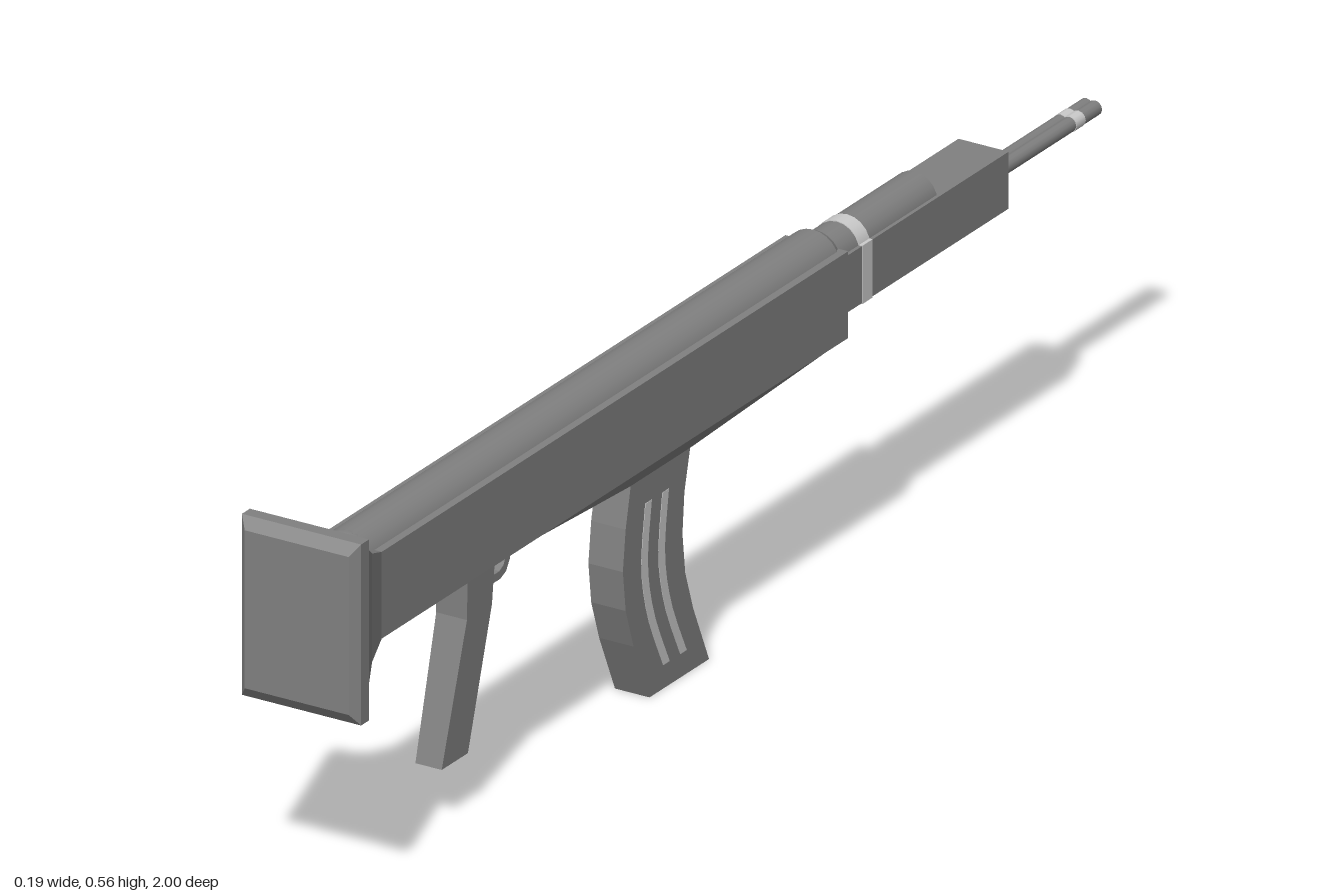
import * as THREE from 'three';
import { ConvexGeometry } from 'three/addons/geometries/ConvexGeometry.js';

const flat = new THREE.MeshStandardMaterial({ color: 0x808080, flatShading: true });
const smooth = new THREE.MeshStandardMaterial({ color: 0x808080 });
const light = new THREE.MeshStandardMaterial({ color: 0xcccccc });

// Loft rectangular sections [z, halfWidth, yBottom, yTop], z increasing
function loft(sections) {
  const pos = [], idx = [];
  for (const [z, w, y0, y1] of sections) pos.push(-w, y0, z, w, y0, z, w, y1, z, -w, y1, z);
  for (let s = 0; s < sections.length - 1; s++)
    for (let i = 0; i < 4; i++) {
      const a = s * 4 + i, b = s * 4 + (i + 1) % 4, c = b + 4, d = a + 4;
      idx.push(a, b, c, a, c, d);
    }
  const e = (sections.length - 1) * 4;
  idx.push(2, 1, 0, 3, 2, 0, e, e + 1, e + 2, e, e + 2, e + 3);
  const g = new THREE.BufferGeometry();
  g.setAttribute('position', new THREE.Float32BufferAttribute(pos, 3));
  g.setIndex(idx);
  const out = g.toNonIndexed();
  out.computeVertexNormals();
  return out;
}

// Extrude a side outline of [z, y] points to a width centred on x = 0
function side(points, width, hole) {
  const toV = ([z, y]) => new THREE.Vector2(z, y);
  const shape = new THREE.Shape(points.map(toV));
  if (hole) shape.holes.push(new THREE.Path(hole.map(toV)));
  const g = new THREE.ExtrudeGeometry(shape, { depth: width, bevelEnabled: false });
  return g.translate(0, 0, -width / 2).rotateY(-Math.PI / 2);
}

// Rod lying along z
function rod(r, z0, z1, x, y, seg = 20) {
  return new THREE.CylinderGeometry(r, r, z1 - z0, seg).rotateX(Math.PI / 2).translate(x, y, (z0 + z1) / 2);
}

// Curved band following a [z, y] centre line
function band(line, half) {
  const pts = new THREE.SplineCurve(line.map(p => new THREE.Vector2(...p))).getPoints(10);
  return [...pts.map(p => [p.x - half, p.y]), ...pts.reverse().map(p => [p.x + half, p.y])];
}

export function createModel() {
  const model = new THREE.Group();
  const add = (name, geo, mat = flat) => {
    const m = new THREE.Mesh(geo, mat);
    m.name = name;
    model.add(m);
    return m;
  };

  // Receiver and its round top cover
  add('receiver', loft([[-0.31, 0.05, 0.36, 0.488], [0.87, 0.05, 0.36, 0.488]]));
  add('topCover', rod(0.043, -0.3, 0.877, 0, 0.469, 24), smooth);
  add('topCoverFrontEdge', new THREE.CylinderGeometry(0.043, 0.038, 0.01, 24)
    .rotateX(Math.PI / 2).translate(0, 0.469, -0.305), smooth);
  add('topCoverEnd', new THREE.SphereGeometry(0.043, 24, 16).translate(0, 0.469, 0.877), smooth);

  // Belly narrowing down to the magazine
  const belly = [];
  for (const x of [-1, 1])
    for (const [z, y, w] of [[0.5, 0.362, 0.05], [-0.31, 0.362, 0.05], [0.205, 0.33, 0.028], [0.05, 0.33, 0.028]])
      belly.push(new THREE.Vector3(x * w, y, z));
  add('belly', new ConvexGeometry(belly));

  // Flared shoulder stock with bevelled butt plate
  add('stock', loft([
    [0.865, 0.05, 0.36, 0.488], [0.905, 0.06, 0.343, 0.503], [0.94, 0.076, 0.32, 0.526],
    [0.968, 0.095, 0.289, 0.556], [0.988, 0.095, 0.289, 0.556], [1, 0.083, 0.306, 0.539],
  ]));

  // Handguard with tapered nose, upper tube and pale ring
  add('handguard', loft([
    [-0.765, 0.014, 0.414, 0.444], [-0.73, 0.04, 0.39, 0.474], [-0.3, 0.04, 0.39, 0.474],
  ]));
  add('upperTube', rod(0.036, -0.557, -0.3, 0, 0.465), smooth);
  add('ringLower', loft([[-0.386, 0.041, 0.389, 0.475], [-0.36, 0.041, 0.389, 0.475]]), light);
  add('ringUpper', rod(0.0372, -0.386, -0.36, 0, 0.465), light);

  // Slim twin barrel with pale band
  for (const s of [-1, 1]) {
    add('barrel', rod(0.011, -1, -0.74, s * 0.007, 0.429, 12), smooth);
    add('barrelBand', rod(0.0117, -0.958, -0.935, s * 0.007, 0.429, 12), light);
  }

  // Curved magazine with two pale ribs per side
  add('magazine', side([
    [0.2, 0.34], [0.215, 0.27], [0.222, 0.21], [0.215, 0.15], [0.195, 0.09], [0.155, 0],
    [0.005, 0], [0.045, 0.09], [0.065, 0.15], [0.072, 0.21], [0.067, 0.27], [0.05, 0.34],
  ], 0.055));
  for (const dz of [0, -0.043])
    add('magazineRib', side(band([[0.158 + dz, 0.29], [0.168 + dz, 0.2], [0.152 + dz, 0.12], [0.113 + dz, 0.035]], 0.008), 0.0565), light);

  // Grip, slightly narrower toward the bottom
  const grip = side([[0.61, 0.365], [0.61, 0.285], [0.668, 0.085], [0.602, 0.085], [0.547, 0.285], [0.54, 0.365]], 1);
  const p = grip.attributes.position;
  for (let i = 0; i < p.count; i++) p.setX(i, p.getX(i) * (0.042 + (p.getY(i) - 0.085) * 0.035));
  grip.computeVertexNormals();
  add('grip', grip);

  // Trigger guard loop and trigger
  add('triggerGuard', side(
    [[0.555, 0.365], [0.555, 0.303], [0.505, 0.303], [0.49, 0.309], [0.48, 0.325], [0.48, 0.365]], 0.022,
    [[0.545, 0.358], [0.492, 0.358], [0.492, 0.329], [0.497, 0.32], [0.507, 0.315], [0.545, 0.315]]));
  add('trigger', side(band([[0.518, 0.362], [0.521, 0.34], [0.512, 0.322]], 0.004), 0.01));

  return model;
}
